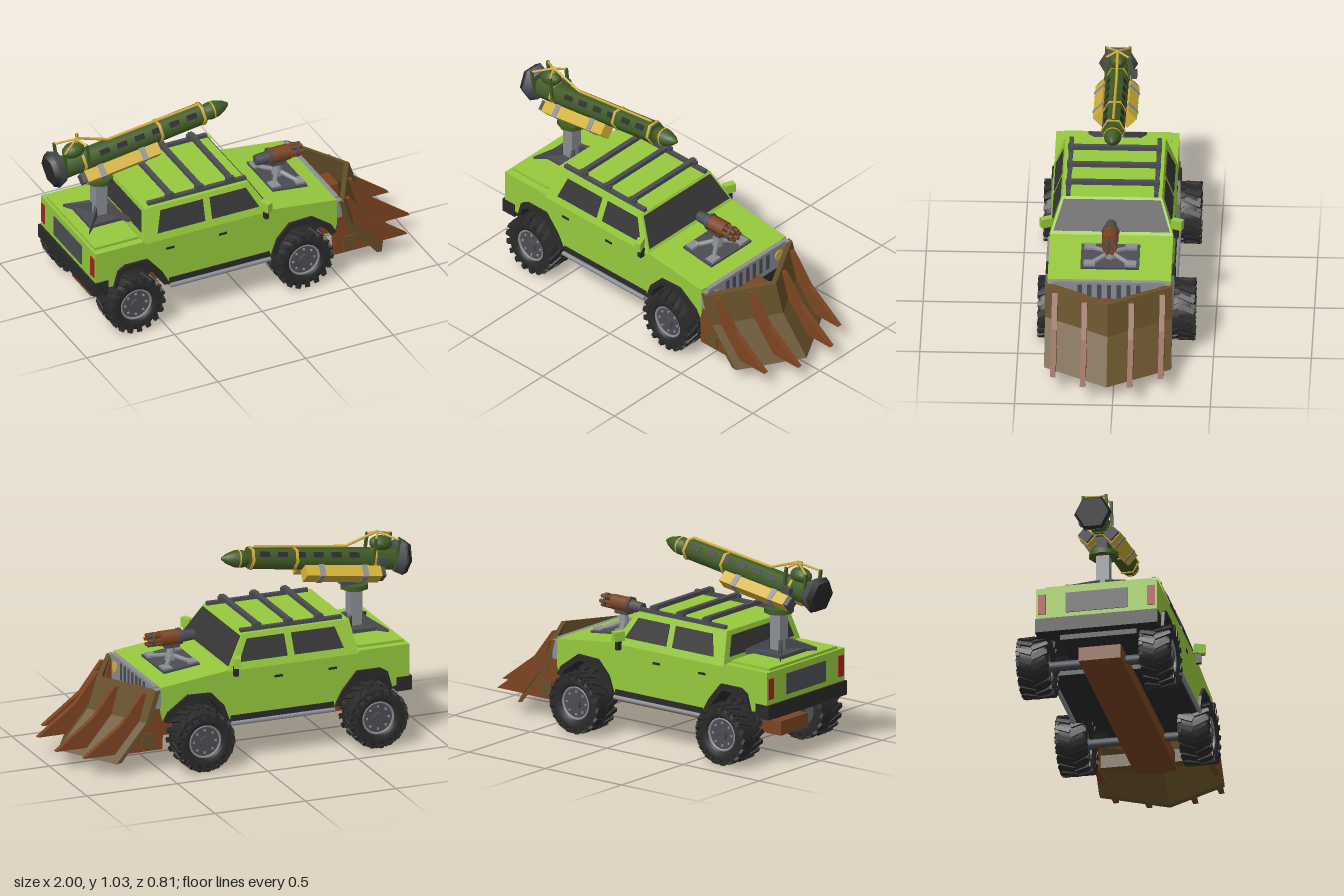
import * as THREE from 'three';
import { ConvexGeometry } from 'three/addons/geometries/ConvexGeometry.js';

const mat = (name, color, flatShading = false) => {
  const m = new THREE.MeshStandardMaterial({ color, flatShading });
  m.name = name;
  return m;
};
const green = mat('bodyGreen', 0x96c93d), black = mat('rubberBlack', 0x2a2a2b), glass = mat('tintedGlass', 0x363636);
const iron = mat('darkGrey', 0x4b4d53), steel = mat('steelGrey', 0x8b8e93), rust = mat('rustBrown', 0x7c4421);
const plank = mat('oliveBrown', 0x665029), army = mat('armyGreen', 0x415c27), yellow = mat('yellow', 0xd2b038);
const red = mat('lampRed', 0xa32424);

const V = (x, y, z) => new THREE.Vector3(x, y, z);
function add(parent, name, geo, m, x = 0, y = 0, z = 0) {
  const mesh = new THREE.Mesh(geo, m);
  mesh.name = name;
  mesh.position.set(x, y, z);
  parent.add(mesh);
  return mesh;
}
function group(parent, name, x = 0, y = 0, z = 0) {
  const g = new THREE.Group();
  g.name = name;
  g.position.set(x, y, z);
  parent.add(g);
  return g;
}
const box = (p, n, m, w, h, d, x, y, z) => add(p, n, new THREE.BoxGeometry(w, h, d), m, x, y, z);
const hull = (p, n, m, pts) => add(p, n, new ConvexGeometry(pts), m);
// Side outline extruded across z, centred
function slab(p, n, m, pts, depth, z = 0) {
  const shape = new THREE.Shape(pts.map(([x, y]) => new THREE.Vector2(x, y)));
  const geo = new THREE.ExtrudeGeometry(shape, { depth, bevelEnabled: false }).translate(0, 0, -depth / 2);
  return add(p, n, geo, m, 0, 0, z);
}
// Cylinder along x
const rod = (p, n, m, r0, r1, len, x, y, z, sides = 12) =>
  add(p, n, new THREE.CylinderGeometry(r1, r0, len, sides).rotateZ(-Math.PI / 2), m, x, y, z);
// Thin plate from corners, thickened along an outward direction
const plate = (p, n, m, pts, out) =>
  hull(p, n, m, pts.flatMap(q => [q.clone().addScaledVector(out, 0.004), q.clone().addScaledVector(out, -0.004)]));
const bar = (p, n, m, a, b, r) => {
  const mesh = add(p, n, new THREE.CylinderGeometry(r, r, a.distanceTo(b), 6), m);
  mesh.position.copy(a).lerp(b, 0.5);
  mesh.quaternion.setFromUnitVectors(V(0, 1, 0), b.clone().sub(a).normalize());
  return mesh;
};

const REAR = -0.66, FRONT = 0.297, HALF = 0.315;
// Wheel arch outlines, left to right
const arch = {
  rear: [[-0.775, 0.28], [-0.75, 0.37], [-0.71, 0.395], [-0.58, 0.395], [-0.5, 0.3], [-0.46, 0.225]],
  front: [[0.125, 0.225], [0.155, 0.31], [0.225, 0.385], [0.355, 0.39], [0.465, 0.31], [0.49, 0.265]],
};

function addWheel(parent, x, side) {
  const w = group(parent, 'wheel', x, 0.16, side * 0.32);
  const prof = [[0.085, -0.06], [0.1, -0.078], [0.135, -0.078], [0.15, -0.06], [0.152, 0], [0.15, 0.06],
    [0.135, 0.078], [0.1, 0.078], [0.085, 0.06]].map(([r, h]) => new THREE.Vector2(r, h));
  add(w, 'tyre', new THREE.LatheGeometry(prof, 32).rotateX(Math.PI / 2), black);
  for (let i = 0; i < 18; i++) for (const s of [-1, 1]) {
    const lug = group(w, 'treadLug');
    lug.rotation.z = (i + (s > 0 ? 0.5 : 0)) / 18 * Math.PI * 2;
    box(lug, 'lug', black, 0.025, 0.016, 0.085, 0, 0.151, s * 0.04).rotation.y = s * 0.4;
    box(lug, 'shoulderLug', black, 0.022, 0.035, 0.02, 0.012 * s, 0.138, s * 0.072);
  }
  const disc = (n, m, r, d, z, sides = 24) =>
    add(w, n, new THREE.CylinderGeometry(r, r, d, sides).rotateX(Math.PI / 2), m, 0, 0, z);
  disc('rim', iron, 0.087, 0.11, 0);
  disc('hub', iron, 0.03, 0.14, 0, 8);
  add(w, 'rimRing', new THREE.TorusGeometry(0.084, 0.007, 6, 28), steel, 0, 0, side * 0.06);
  for (let i = 0; i < 8; i++) {
    const a = i * Math.PI / 4;
    box(w, 'wheelNut', steel, 0.01, 0.01, 0.008, Math.cos(a) * 0.06, Math.sin(a) * 0.06, side * 0.058);
  }
}

function addBody(car) {
  slab(car, 'lowerBody', green, [[-0.875, 0.3], [-0.775, 0.28], ...arch.rear.slice(1), ...arch.front,
    [0.5, 0.3], [0.5, 0.445], [0.13, 0.49], [-0.59, 0.49], [-0.6, 0.5], [-0.875, 0.5]], HALF * 2);
  for (const [k, cx] of [['rear', REAR], ['front', FRONT]]) {
    const inner = arch[k].map(([x, y]) => [cx + (x - cx) * 0.86, 0.16 + (y - 0.16) * 0.86]);
    slab(car, 'fenderFlare', black, [...arch[k], ...inner.reverse()], HALF * 2 + 0.03);
  }
  box(car, 'underbody', black, 1.3, 0.15, 0.4, -0.18, 0.3, 0);
  box(car, 'floor', black, 0.58, 0.03, 0.62, -0.17, 0.215, 0);
  // Cab with inward leaning sides
  const hw = y => HALF - (y - 0.49) * 0.364;
  const ring = (y, x0, x1) => [1, -1].flatMap(s => [V(x0, y, s * hw(y)), V(x1, y, s * hw(y))]);
  hull(car, 'cab', green, [...ring(0.485, -0.592, 0.132), ...ring(0.655, -0.565, 0.025)]);
  const frontX = y => 0.13 - (y - 0.49) * 0.636, rearX = y => -0.59 + (y - 0.49) * 0.16;
  const across = (n, fx, y0, y1, inset, out) => plate(car, n, glass, [y0, y1].flatMap(y =>
    [1, -1].map(s => V(fx(y), y, s * (hw(y) - inset)))), out);
  across('windshield', frontX, 0.505, 0.643, 0.012, V(0.85, 0.53, 0));
  across('rearWindow', rearX, 0.525, 0.63, 0.04, V(-1, 0, 0));
  for (const s of [1, -1]) {
    const win = pts => plate(car, 'sideWindow', glass, pts.map(([x, y]) => V(x, y, s * hw(y))), V(0, 0.35, s * 0.94));
    win([[-0.515, 0.522], [-0.48, 0.63], [-0.24, 0.63], [-0.245, 0.522]]);
    win([[-0.205, 0.522], [-0.2, 0.63], [0.005, 0.63], [0.062, 0.522]]);
    for (const x of [-0.3, 0.0]) box(car, 'doorHandle', black, 0.045, 0.012, 0.008, x - 0.15, 0.425, s * HALF);
    // Mirrors, steps and lamps
    box(car, 'mirror', green, 0.035, 0.05, 0.06, 0.085, 0.535, s * 0.335).rotation.y = s * 0.4;
    box(car, 'mirrorArm', black, 0.022, 0.05, 0.03, 0.09, 0.485, s * 0.327);
    rod(car, 'sideStep', steel, 0.012, 0.012, 0.57, -0.17, 0.205, s * 0.328, 8);
    box(car, 'sill', black, 0.57, 0.025, 0.02, -0.17, 0.232, s * 0.312);
    box(car, 'tailLamp', red, 0.008, 0.11, 0.04, -0.876, 0.41, s * 0.285);
    box(car, 'cornerGuard', steel, 0.03, 0.1, 0.03, 0.515, 0.385, s * 0.3);
    box(car, 'roofRail', iron, 0.56, 0.018, 0.022, -0.255, 0.665, s * 0.225);
    for (const x of [-0.41, -0.24, -0.065]) box(car, 'rackFoot', iron, 0.045, 0.035, 0.025, x, 0.675, s * 0.225);
  }
  for (const x of [-0.41, -0.24, -0.065]) box(car, 'rackBar', iron, 0.025, 0.022, 0.48, x, 0.688, 0);
  // Nose and tail
  box(car, 'grille', steel, 0.03, 0.14, 0.57, 0.51, 0.375, 0);
  for (let i = -3; i <= 3; i++) box(car, 'grilleSlot', iron, 0.008, 0.09, 0.022, 0.525, 0.385, i * 0.05);
  for (const s of [1, -1]) add(car, 'headLamp', new THREE.CylinderGeometry(0.03, 0.03, 0.008, 16).rotateZ(Math.PI / 2), yellow, 0.526, 0.385, s * 0.235);
  box(car, 'frontBumper', black, 0.06, 0.06, 0.58, 0.5, 0.28, 0);
  box(car, 'rearBumper', black, 0.085, 0.075, 0.64, -0.845, 0.29, 0);
  box(car, 'tailgatePanel', iron, 0.008, 0.11, 0.32, -0.876, 0.41, 0);
  box(car, 'bedCover', green, 0.25, 0.014, 0.55, -0.735, 0.507, 0);
}

function addPlough(car) {
  const g = group(car, 'plough');
  const sec = [[0.535, 0.43], [0.585, 0.27], [0.75, 0.068]], sweep = 0.19;
  for (const s of [1, -1]) {
    // Swept blade panels, two per side
    for (let i = 0; i < 2; i++) hull(g, 'blade', plank, [sec[i], sec[i + 1]].flatMap(([x, y]) =>
      [0, 0.028].flatMap(t => [V(x + sweep - t, y + t * 0.15, 0), V(x - t, y + t * 0.15, s * 0.325)])));
    // Ribs ending in forward teeth
    for (const dz of [0.12, 0.275]) {
      const o = sweep * (1 - dz / 0.325);
      slab(g, 'rib', rust, [[0.54 + o, 0.415], [0.56 + o, 0.415], [0.675 + o, 0.265], [0.885 + o, 0.108],
        [0.715 + o, 0.108], [0.58 + o, 0.27]], 0.028, s * dz);
    }
    slab(g, 'sidePlate', rust, [[0.49, 0.112], [0.485, 0.26], [0.53, 0.42], [0.57, 0.27], [0.7, 0.112]], 0.03, s * 0.295);
    box(g, 'platePatch', plank, 0.07, 0.08, 0.012, 0.572, 0.17, s * 0.311);
  }
  box(g, 'crossBar', plank, 0.06, 0.07, 0.58, 0.57, 0.17, 0);
  box(g, 'pushBeam', rust, 1.4, 0.075, 0.22, -0.1, 0.149, 0);
  box(g, 'beamTop', rust, 1.0, 0.045, 0.16, -0.1, 0.2, 0);
  box(g, 'beamHead', rust, 0.09, 0.24, 0.12, 0.59, 0.24, 0);
}

function addHoodGun(car) {
  const g = group(car, 'hoodGun', 0.315, 0, 0);
  box(g, 'hatch', iron, 0.2, 0.02, 0.3, 0, 0.468, 0).rotation.z = -0.12;
  for (const sx of [1, -1]) for (const s of [1, -1]) {
    bar(g, 'mountLeg', steel, V(sx * 0.075, 0.475 - sx * 0.008, s * 0.11), V(0, 0.5, 0), 0.013);
    box(g, 'mountFoot', steel, 0.05, 0.012, 0.06, sx * 0.07, 0.482 - sx * 0.008, s * 0.105);
  }
  add(g, 'post', new THREE.CylinderGeometry(0.014, 0.035, 0.1, 8), steel, 0, 0.515, 0);
  box(g, 'cradle', iron, 0.08, 0.03, 0.06, 0, 0.56, 0);
  rod(g, 'breech', iron, 0.028, 0.034, 0.07, -0.09, 0.592, 0, 8);
  rod(g, 'receiver', rust, 0.042, 0.042, 0.12, 0.005, 0.594, 0, 8);
  rod(g, 'collar', iron, 0.046, 0.046, 0.015, -0.045, 0.594, 0, 8);
  for (let i = 0; i < 6; i++) {
    const a = i * Math.PI / 3;
    rod(g, 'barrel', rust, 0.01, 0.01, 0.11, 0.08, 0.594 + Math.sin(a) * 0.027, Math.cos(a) * 0.027, 6);
  }
  rod(g, 'muzzleRing', iron, 0.04, 0.04, 0.012, 0.105, 0.594, 0, 8);
}

function addLauncher(car) {
  const base = group(car, 'launcherBase', -0.7, 0, 0);
  box(base, 'pillar', steel, 0.065, 0.22, 0.068, 0, 0.63, 0);
  add(base, 'turntable', new THREE.CylinderGeometry(0.076, 0.076, 0.026, 8), army, 0, 0.74, 0);
  box(base, 'footPlate', iron, 0.2, 0.02, 0.2, 0, 0.523, 0);
  for (const sx of [1, -1]) for (const s of [1, -1]) hull(base, 'braceLeg', iron, [
    V(sx * 0.03, 0.59, s * 0.01), V(sx * 0.03, 0.59, s * 0.04), V(sx * 0.03, 0.515, s * 0.01), V(sx * 0.03, 0.515, s * 0.045),
    V(sx * 0.11, 0.53, s * 0.12), V(sx * 0.13, 0.53, s * 0.15), V(sx * 0.11, 0.51, s * 0.12), V(sx * 0.13, 0.51, s * 0.15)]);
  const g = group(car, 'missileLauncher', -0.7, 0.877, 0);
  g.rotation.z = 0.14;
  box(g, 'yoke', iron, 0.13, 0.11, 0.055, 0, -0.075, 0);
  rod(g, 'launchTube', army, 0.06, 0.058, 0.73, 0.235, 0.005, 0, 6);
  for (let i = 0; i < 6; i++) for (const s of [1, -1])
    box(g, 'tubeSlot', black, 0.055, 0.028, 0.008, 0.02 + i * 0.1, 0.036, s * 0.0385).rotation.x = -s * Math.PI / 6;
  for (const x of [-0.1, 0.34, 0.585]) rod(g, 'tubeBand', yellow, 0.063, 0.063, 0.015, x, 0.005, 0, 6);
  // Missile nose
  const prof = [[0, 0.56], [0.03, 0.57], [0.046, 0.63], [0.044, 0.67], [0.026, 0.715], [0.008, 0.74], [0, 0.742]];
  add(g, 'missileNose', new THREE.LatheGeometry(prof.map(([r, h]) => new THREE.Vector2(r, h)), 16).rotateZ(-Math.PI / 2), army);
  rod(g, 'noseBand', yellow, 0.047, 0.0465, 0.008, 0.65, 0, 0, 16);
  // Angled side pods
  for (const s of [1, -1]) {
    const pod = group(g, 'sidePod', 0, -0.055, s * 0.066);
    pod.rotation.x = s * Math.PI / 4;
    box(pod, 'podCase', yellow, 0.42, 0.07, 0.062, 0.09, 0, 0);
    box(pod, 'podCap', iron, 0.03, 0.06, 0.052, -0.13, 0, 0);
    for (const x of [-0.03, 0.21]) box(pod, 'podStrap', steel, 0.03, 0.076, 0.068, x, 0, 0);
  }
  // Exhaust shroud and rear cage
  rod(g, 'exhaustShroud', iron, 0.1, 0.08, 0.05, -0.235, 0.02, 0, 6);
  rod(g, 'exhaustRim', black, 0.085, 0.1, 0.03, -0.27, 0.02, 0, 6);
  rod(g, 'tailSection', army, 0.06, 0.06, 0.13, -0.16, 0.01, 0, 6);
  add(g, 'tailDome', new THREE.SphereGeometry(0.05, 12, 8).scale(1.25, 0.8, 0.9), army, -0.135, 0.09, 0);
  for (const s of [1, -1]) for (const x of [-0.21, -0.08]) {
    box(g, 'cagePost', army, 0.014, 0.13, 0.014, x, 0.065, s * 0.06);
    bar(g, 'cageStrut', yellow, V(x, 0.125, s * 0.06), V(-0.11, 0.15, 0), 0.006);
  }
  box(g, 'sideActuator', iron, 0.05, 0.035, 0.03, -0.12, 0.02, -0.085);
  const rail = [V(-0.11, 0.155, 0), V(0.06, 0.072, 0), V(0.57, 0.066, 0)];
  for (let i = 0; i < 2; i++) bar(g, 'topRail', yellow, rail[i], rail[i + 1], 0.007);
  bar(g, 'railPost', yellow, V(-0.11, 0.155, 0), V(-0.11, 0.06, 0), 0.007);
}

export function createModel() {
  const root = new THREE.Group();
  root.name = 'armedPloughTruck';
  const car = group(root, 'truck', 0, 0, 0.033);
  addBody(car);
  addPlough(car);
  addHoodGun(car);
  addLauncher(car);
  for (const x of [REAR, FRONT]) {
    for (const s of [1, -1]) addWheel(root, x, s);
    add(root, 'axle', new THREE.CylinderGeometry(0.025, 0.025, 0.6, 8).rotateX(Math.PI / 2), iron, x, 0.16, 0);
  }
  return root;
}
